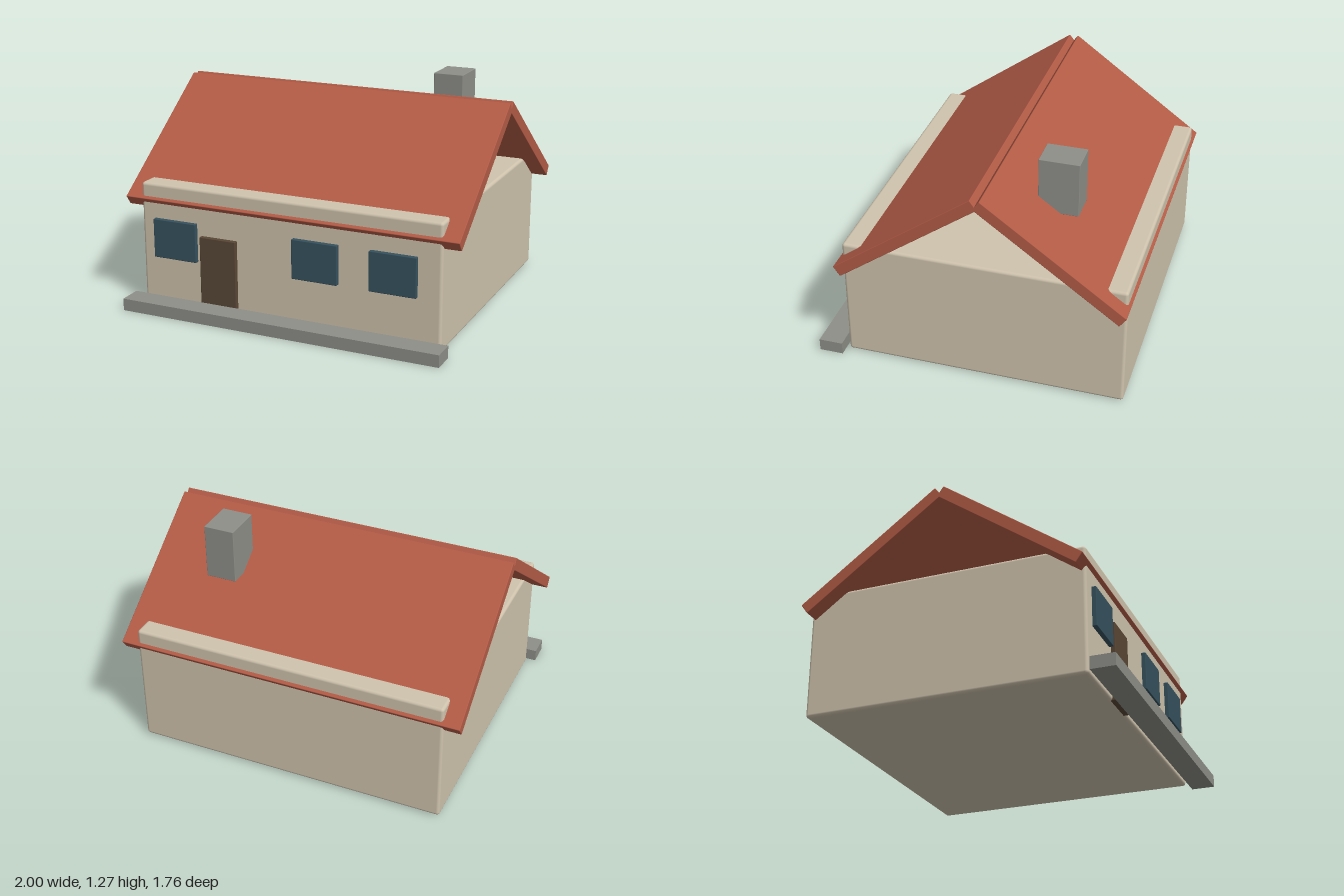
import * as THREE from 'three';
import { RoundedBoxGeometry } from 'three/addons/geometries/RoundedBoxGeometry.js';

const material = (name, color) => new THREE.MeshStandardMaterial({ name, color });

export function createModel() {
  const house = new THREE.Group();
  house.name = 'house';

  const plaster = material('cream plaster', 0xcfc3ad);
  const tile = material('red tile', 0xb35b46);
  const glass = material('dark blue glass', 0x36525e);
  const wood = material('brown wood', 0x594736);
  const stone = material('grey stone', 0x8e8f88);

  // Box given by its [min, max] range on each axis, with an optional edge bevel
  function block(name, mat, [x0, x1], [y0, y1], [z0, z1], bevel = 0) {
    const size = [x1 - x0, y1 - y0, z1 - z0];
    const geometry = bevel
      ? new RoundedBoxGeometry(...size, 2, bevel)
      : new THREE.BoxGeometry(...size);
    const mesh = new THREE.Mesh(geometry, mat);
    mesh.name = name;
    mesh.position.set((x0 + x1) / 2, (y0 + y1) / 2, (z0 + z1) / 2);
    house.add(mesh);
    return mesh;
  }

  // Walls: one closed block whose upper edges poke through the roof
  block('walls', plaster, [-0.905, 0.905], [0.006, 0.725], [-0.862, 0.725], 0.018);

  // Two crossing roof slabs, mirrored about the ridge
  const ridgeZ = -0.0685;
  const pitch = Math.atan2(0.567, 0.785);
  const length = 0.968, thickness = 0.067;
  for (const side of [1, -1]) {
    const slab = block(side > 0 ? 'frontRoof' : 'backRoof', tile,
      [-1, 1], [0, thickness], [0, length], 0.004);
    slab.position.set(0, 0.89, ridgeZ + side * 0.398);
    slab.rotation.x = side * pitch;
  }

  // Chimney standing on the back slope
  block('chimney', stone, [0.455, 0.631], [0.96, 1.273], [-0.522, -0.299], 0.003);

  // Windows and door on the front wall
  for (const x of [-0.82, 0.045, 0.5]) {
    block('window', glass, [x, x + 0.27], [0.299, 0.525], [0.7, 0.75], 0.004);
  }
  block('door', wood, [-0.524, -0.3], [0.008, 0.457], [0.7, 0.75], 0.004);

  // Long front step
  block('frontStep', stone, [-0.955, 0.955], [0, 0.07], [0.749, 0.885]);

  return house;
}
